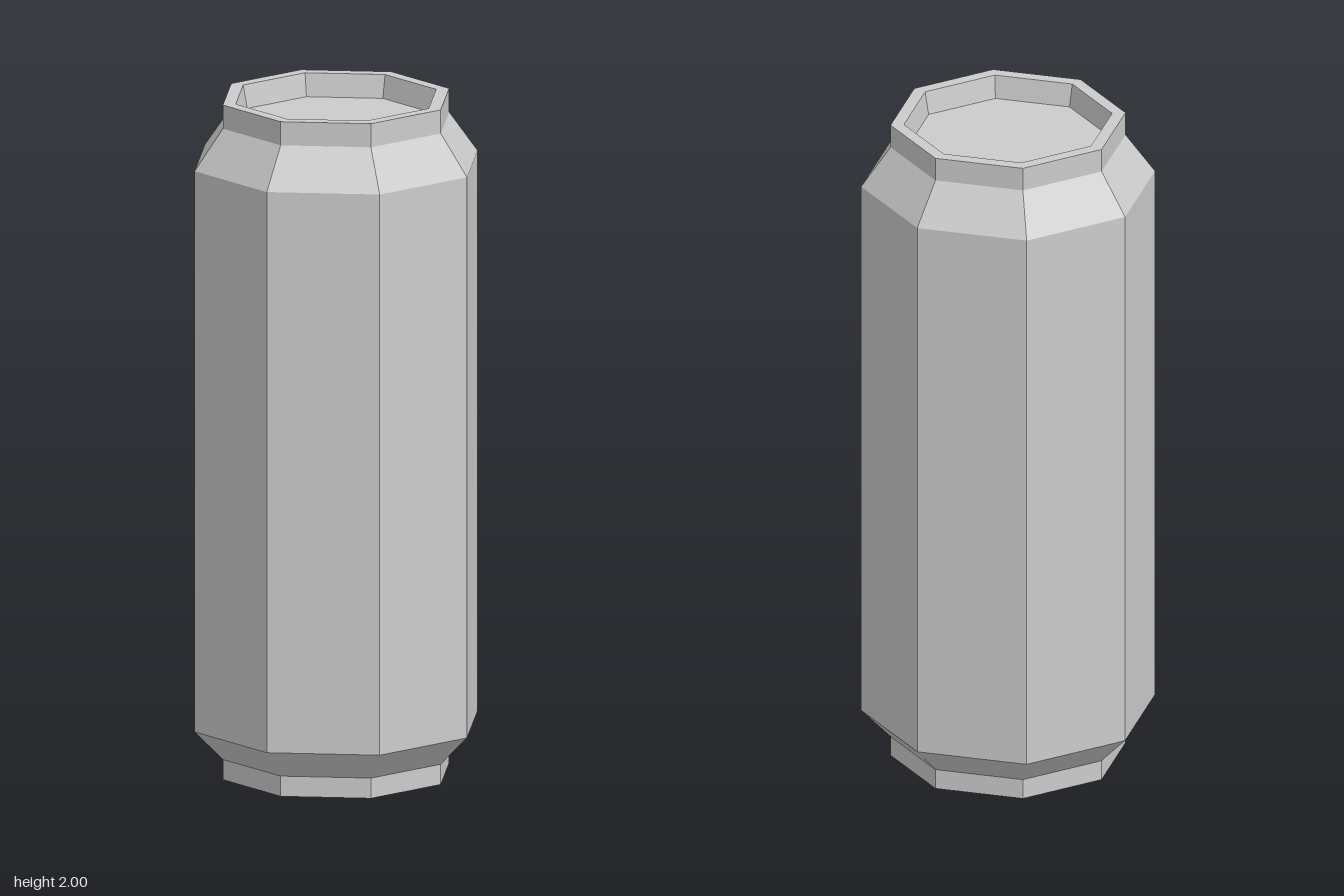
import * as THREE from 'three';

const SIDES = 8;
const CORNER = 1 / Math.cos(Math.PI / SIDES); // flat-to-flat half width -> corner radius

// Faceted ring from a profile of [half width across flats, height], outside running upward
function facetedPart(name, profile, material) {
  const points = profile.map(([w, y]) => new THREE.Vector2(w * CORNER, y));
  const geometry = new THREE.LatheGeometry(points, SIDES, Math.PI / SIDES).toNonIndexed();
  geometry.computeVertexNormals();
  const mesh = new THREE.Mesh(geometry, material);
  mesh.name = name;
  return mesh;
}

// Flat octagonal panel facing up (or down)
function panel(name, halfWidth, y, facing, material) {
  const geometry = new THREE.CircleGeometry(halfWidth * CORNER, SIDES, Math.PI / SIDES);
  geometry.rotateX(-facing * Math.PI / 2);
  const mesh = new THREE.Mesh(geometry, material);
  mesh.name = name;
  mesh.position.y = y;
  return mesh;
}

export function createModel() {
  const can = new THREE.Group();
  can.name = 'can';
  const metal = new THREE.MeshStandardMaterial({ color: 0xcccccc, flatShading: true });

  // Straight wall with the tapered shoulder and foot
  can.add(facetedPart('body', [[0.315, 0.06], [0.394, 0.148], [0.394, 1.81], [0.315, 1.93]], metal));

  // Raised rim around the sunken lid
  can.add(facetedPart('topRim', [[0.315, 1.93], [0.315, 2], [0.279, 2], [0.267, 1.932]], metal));
  can.add(panel('lid', 0.267, 1.932, 1, metal));

  // Foot ring around the domed hollow underneath
  can.add(facetedPart('footRing', [[0.2, 0.16], [0.28, 0], [0.315, 0], [0.315, 0.06]], metal));
  can.add(panel('baseHollow', 0.2, 0.16, -1, metal));

  return can;
}
